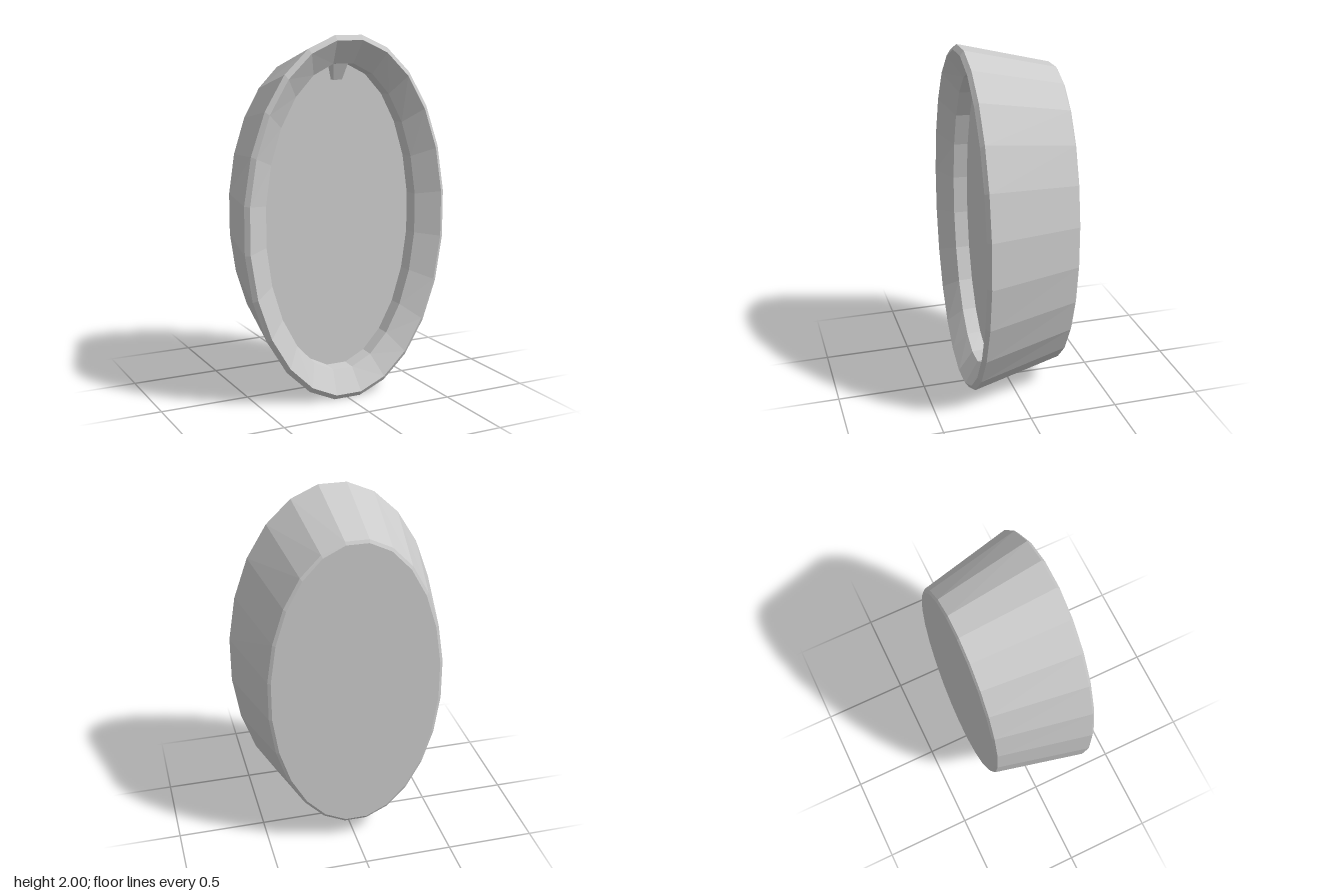
import * as THREE from 'three';

const SIDES = 24;
const material = () => new THREE.MeshStandardMaterial({ color: 0xcccccc, flatShading: true });

// Joins oval rings [rx, ry, z] into one skin, facing outward from back to front
function ovalSkin(rings) {
  const pos = [], index = [];
  for (const [rx, ry, z] of rings) {
    for (let j = 0; j < SIDES; j++) {
      const a = ((j + 0.5) / SIDES) * Math.PI * 2;
      pos.push(rx * Math.cos(a), 1 + ry * Math.sin(a), z);
    }
  }
  for (let i = 0; i < rings.length - 1; i++) {
    for (let j = 0; j < SIDES; j++) {
      const k = (j + 1) % SIDES;
      const a = i * SIDES + j, b = i * SIDES + k, c = a + SIDES, d = b + SIDES;
      if (rings[i][0] > 0) index.push(a, b, c);
      if (rings[i + 1][0] > 0) index.push(b, d, c);
    }
  }
  const geo = new THREE.BufferGeometry();
  geo.setAttribute('position', new THREE.Float32BufferAttribute(pos, 3));
  geo.setIndex(index);
  geo.computeVertexNormals();
  return geo;
}

function addMesh(group, name, geo) {
  const mesh = new THREE.Mesh(geo, material());
  mesh.name = name;
  group.add(mesh);
}

export function createModel() {
  const group = new THREE.Group();
  group.name = 'ovalDish';

  // Tapered outer shell with its closed back
  addMesh(group, 'outerShell', ovalSkin([
    [0, 0, -0.27], [0.475, 0.865, -0.27], [0.492, 0.882, -0.26], [0.61, 1.008, 0.25],
  ]));

  // Narrow bevelled rim, sloping inner border and the short step down
  addMesh(group, 'rim', ovalSkin([
    [0.61, 1.008, 0.25], [0.585, 0.98, 0.27], [0.46, 0.855, 0.19], [0.455, 0.85, 0.11],
  ]));

  // Flat recessed face
  addMesh(group, 'face', ovalSkin([[0.455, 0.85, 0.11], [0, 0, 0.11]]));

  // Small wedge hanging from the top of the step
  const wedge = new THREE.BoxGeometry(0.09, 0.1, 0.08);
  const p = wedge.attributes.position;
  for (let i = 0; i < p.count; i++) {
    if (p.getY(i) < 0) {
      p.setX(i, p.getX(i) * 0.55);
      if (p.getZ(i) > 0) p.setZ(i, 0);
    }
  }
  wedge.translate(-0.01, 1.81, 0.145);
  wedge.computeVertexNormals();
  addMesh(group, 'topWedge', wedge);

  return group;
}
